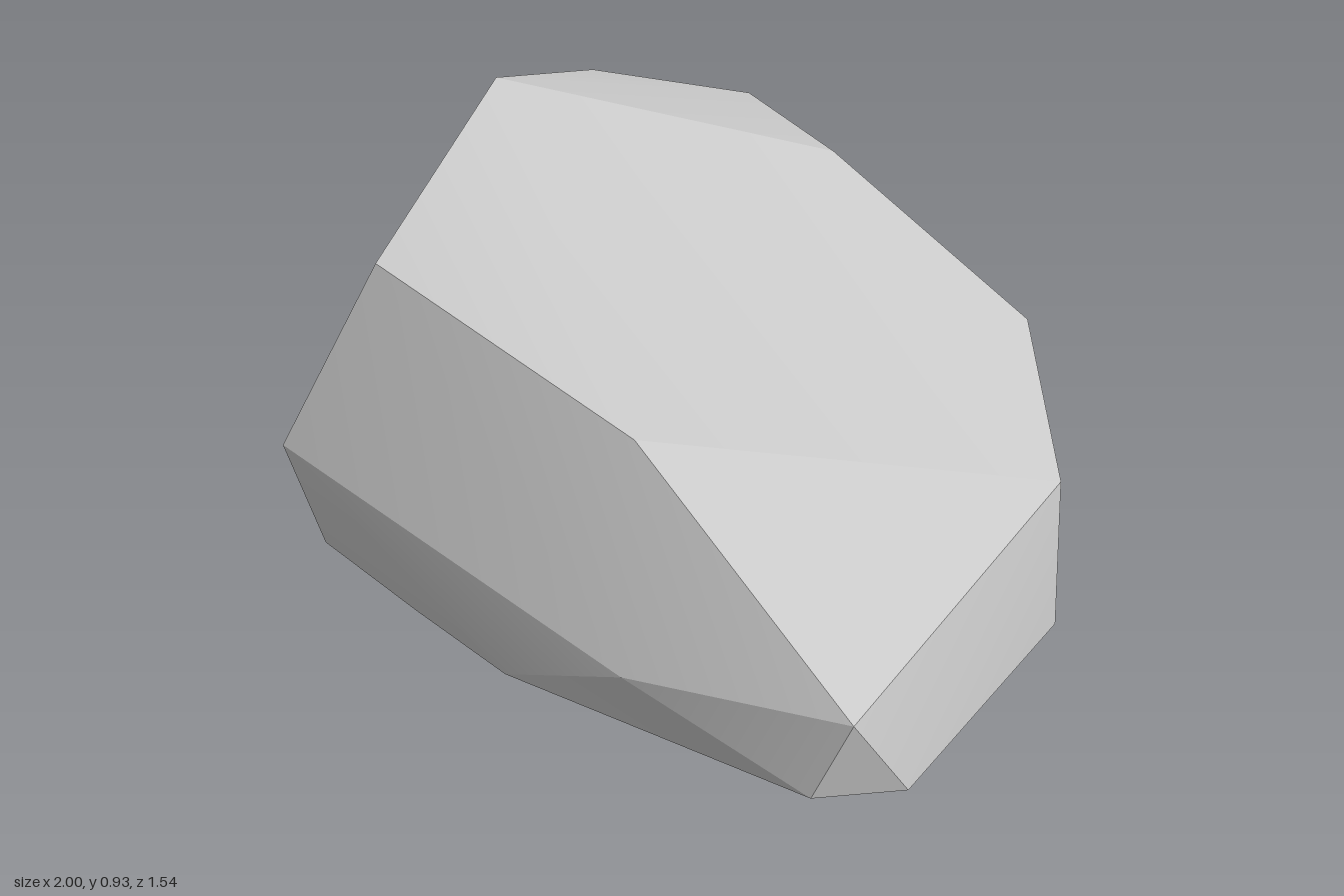
import * as THREE from 'three';
import { ConvexGeometry } from 'three/addons/geometries/ConvexGeometry.js';
import { toCreasedNormals } from 'three/addons/utils/BufferGeometryUtils.js';

// Corners of the sloping upper facets, peak first
const crown = [
  [-0.71, 0.93, 0], [-0.49, 0.75, 0.56], [0.31, 0.66, 0.52], [0.95, 0.30, 0.54],
  [0.92, 0.51, -0.15], [0.57, 0.60, -0.48], [-0.07, 0.77, -0.52],
  [-0.45, 0.75, -0.62], [-0.76, 0.80, -0.36],
];

// Corners part way down the sides
const waist = [
  [-0.65, 0.26, 0.77], [0.46, 0.22, 0.715], [0.30, 0.27, -0.705],
];

// Corners around the underside
const base = [
  [-0.97, 0.06, 0.47], [-0.53, 0.025, 0.765], [-0.2, 0.003, 0.75], [0.1, 0, 0.74],
  [0.88, 0.07, 0.58], [1.0, 0.055, 0.41], [0.94, 0.10, -0.17], [0.45, 0.04, -0.60],
  [-0.40, 0.07, -0.775], [-0.80, 0.06, -0.485], [-1.0, 0.06, 0.13],
];

export function createModel() {
  const stone = new THREE.MeshStandardMaterial({ color: 0xcccccc });
  stone.name = 'stoneGrey';

  // Faceted boulder: hull of the corners, shallow edges smoothed and sharp ones kept
  const points = [...crown, ...waist, ...base].map((p) => new THREE.Vector3(...p));
  const geometry = toCreasedNormals(new ConvexGeometry(points), THREE.MathUtils.degToRad(18));
  const rock = new THREE.Mesh(geometry, stone);
  rock.name = 'rock';

  const group = new THREE.Group();
  group.name = 'boulder';
  group.add(rock);
  return group;
}
